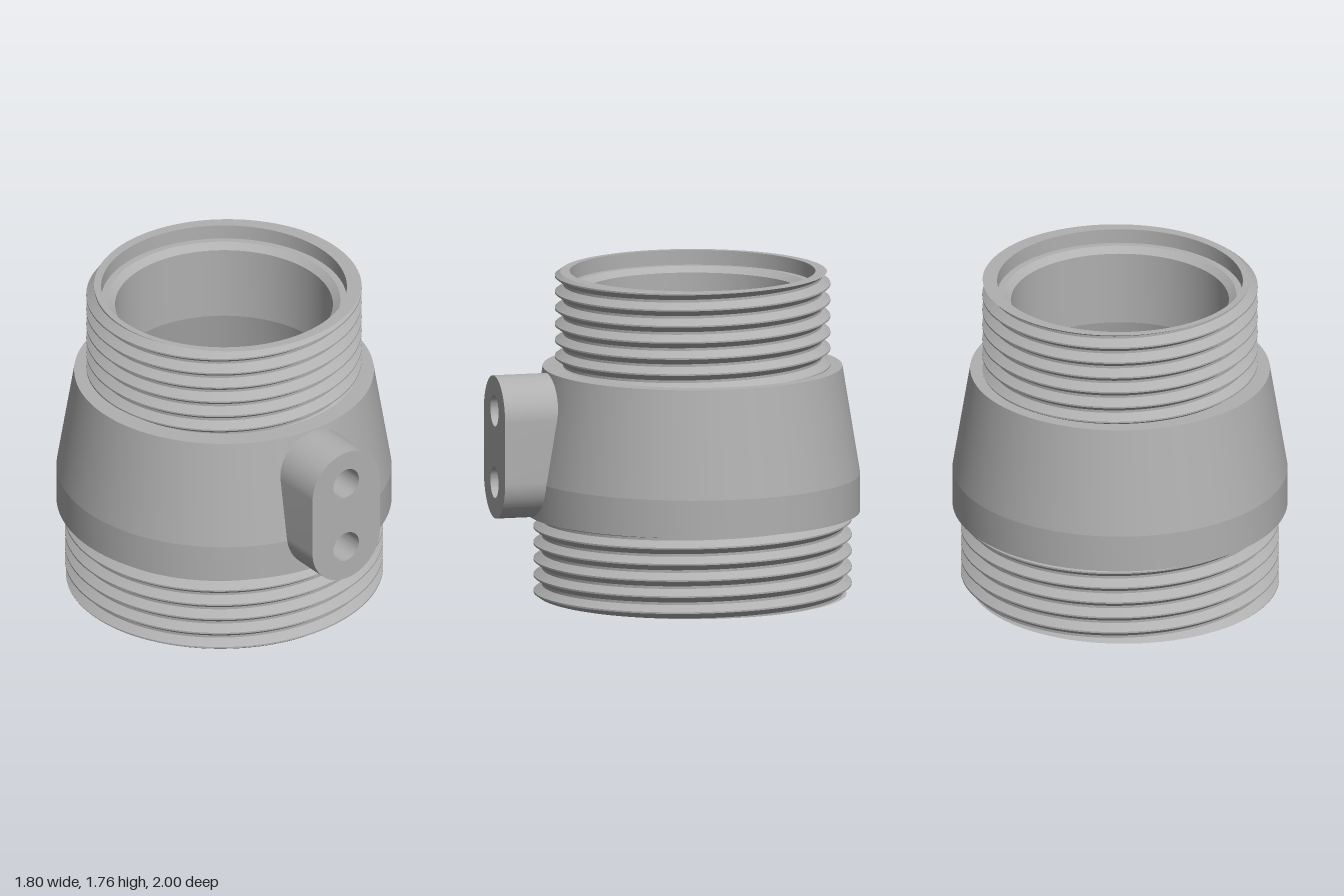
import * as THREE from 'three';
import { toCreasedNormals } from 'three/addons/utils/BufferGeometryUtils.js';

const SEGMENTS = 128;
const PITCH = 0.0877;
const AXIS_Z = -0.1;

// Revolved shell from [radius, height] pairs
function lathe(points) {
  const profile = points.map(([r, y]) => new THREE.Vector2(r, y));
  return toCreasedNormals(new THREE.LatheGeometry(profile, SEGMENTS), 0.1);
}

// Right-handed helical thread, cut flat at y0 and y1, with end faces reaching in to `inner`
function thread({ y0, y1, root, depth, inner, crestY }) {
  const crestFlat = 0.05, rootFlat = 0.42;
  const radiusAt = (y, crest) => {
    const t = (y - crest) / PITCH;
    const d = Math.abs(t - Math.round(t));
    return root + depth * THREE.MathUtils.clamp((rootFlat - d) / (rootFlat - crestFlat), 0, 1);
  };
  const offsets = [];
  const first = Math.floor((y0 - crestY) / PITCH) - 2;
  const last = Math.ceil((y1 - crestY) / PITCH) + 1;
  for (let k = first; k <= last; k++) {
    for (const f of [-rootFlat, -crestFlat, crestFlat, rootFlat]) offsets.push((k + f) * PITCH);
  }
  const rows = offsets.length + 2;
  const point = (i, j) => {
    const a = (i / SEGMENTS) * Math.PI * 2;
    const crest = crestY + (PITCH * i) / SEGMENTS;
    let y, r;
    if (j === 0 || j === rows - 1) {
      y = j === 0 ? y0 : y1;
      r = inner;
    } else {
      y = THREE.MathUtils.clamp(crest + offsets[j - 1], y0, y1);
      r = radiusAt(y, crest);
    }
    return new THREE.Vector3(r * Math.cos(a), y, -r * Math.sin(a));
  };
  const positions = [];
  const triangle = (a, b, c) => {
    if (new THREE.Triangle(a, b, c).getArea() < 1e-8) return;
    for (const p of [a, b, c]) positions.push(p.x, p.y, p.z);
  };
  for (let i = 0; i < SEGMENTS; i++) {
    for (let j = 0; j < rows - 1; j++) {
      const a = point(i, j), b = point(i + 1, j), c = point(i + 1, j + 1), d = point(i, j + 1);
      triangle(a, b, c);
      triangle(a, c, d);
    }
  }
  const geometry = new THREE.BufferGeometry();
  geometry.setAttribute('position', new THREE.Float32BufferAttribute(positions, 3));
  return toCreasedNormals(geometry, 0.3);
}

// Rounded upright lug with two holes
function lugGeometry() {
  const r = 0.225, low = 0.685, high = 1.01, back = 0.62;
  const shape = new THREE.Shape();
  shape.moveTo(r, low);
  shape.lineTo(r, high);
  shape.absarc(0, high, r, 0, Math.PI, false);
  shape.lineTo(-r, low);
  shape.absarc(0, low, r, Math.PI, Math.PI * 2, false);
  for (const y of [0.655, 1.045]) {
    shape.holes.push(new THREE.Path().absarc(0, y, 0.085, 0, Math.PI * 2, true));
  }
  const geometry = new THREE.ExtrudeGeometry(shape, { depth: 1 - back, bevelEnabled: false, curveSegments: 32 });
  geometry.translate(0, 0, back);
  return toCreasedNormals(geometry, 0.5);
}

export function createModel() {
  const group = new THREE.Group();
  const metal = new THREE.MeshStandardMaterial({ color: 0xb0b0b0 });
  metal.name = 'grey metal';

  const add = (name, geometry, z) => {
    const mesh = new THREE.Mesh(geometry, metal);
    mesh.name = name;
    mesh.position.z = z;
    group.add(mesh);
  };

  // Tapered collar
  add('collar', lathe([[0.72, 0.455], [0.9, 0.455], [0.9, 0.66], [0.805, 1.245], [0.66, 1.245]]), AXIS_Z);

  // Inner bore with a stepped, chamfered seat at the top
  add('bore', lathe([
    [0.66, 1.76], [0.66, 1.68], [0.625, 1.68], [0.585, 1.65], [0.585, 1.245], [0.717, 0.66], [0.717, 0],
  ]), AXIS_Z);

  // Threaded ends
  add('upperThread', thread({ y0: 1.23, y1: 1.76, root: 0.695, depth: 0.045, inner: 0.66, crestY: 1.76 }), AXIS_Z);
  add('lowerThread', thread({ y0: 0, y1: 0.47, root: 0.81, depth: 0.045, inner: 0.717, crestY: 0.044 }), AXIS_Z);

  // Front lug
  add('lug', lugGeometry(), 0);
  return group;
}
